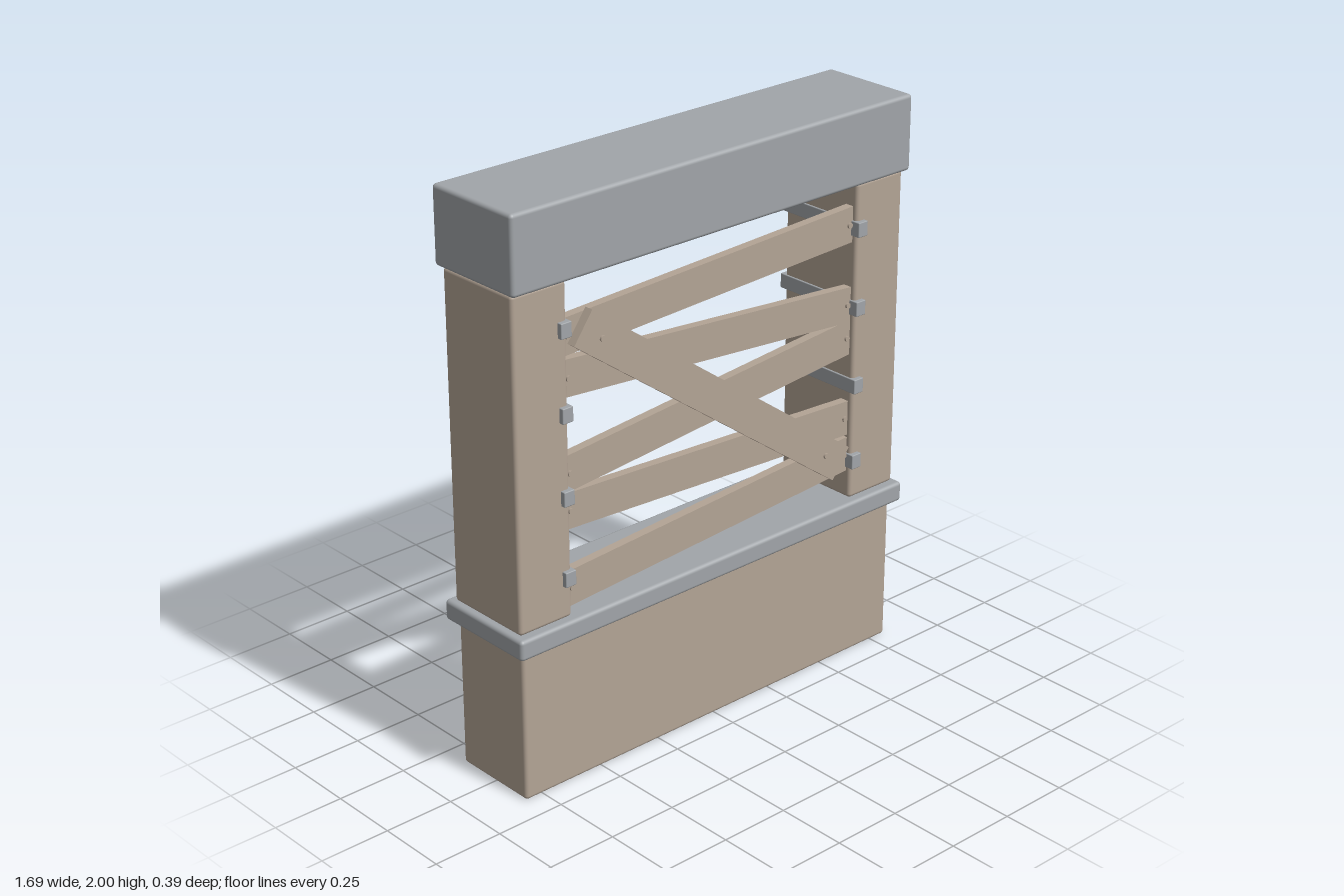
import * as THREE from 'three';
import { RoundedBoxGeometry } from 'three/addons/geometries/RoundedBoxGeometry.js';

export function createModel() {
  const model = new THREE.Group();
  model.name = 'boardedWindow';

  const tan = new THREE.MeshStandardMaterial({ name: 'tan wood', color: 0xb3a495 });
  const grey = new THREE.MeshStandardMaterial({ name: 'grey stone', color: 0xa1a5a9 });

  const add = (name, geometry, material, x, y, z, parent = model) => {
    const mesh = new THREE.Mesh(geometry, material);
    mesh.name = name;
    mesh.position.set(x, y, z);
    parent.add(mesh);
    return mesh;
  };
  // Block with softened edges, given by its bottom and top heights
  const block = (name, material, x, y0, y1, width, depth) =>
    add(name, new RoundedBoxGeometry(width, y1 - y0, depth, 3, 0.013), material, x, (y0 + y1) / 2, 0);

  // Frame
  block('baseWall', tan, 0, 0, 0.528, 1.636, 0.322);
  block('sill', grey, 0, 0.528, 0.6, 1.694, 0.386);
  block('lintel', grey, 0, 1.738, 2, 1.678, 0.374);
  for (const side of [-1, 1]) {
    block(side < 0 ? 'rightPillar' : 'leftPillar', tan, side * 0.722, 0.6, 1.738, 0.21, 0.328);
    // Straps running through the inner edge of each pillar
    for (const y of [0.742, 1.021, 1.302, 1.581]) {
      add('strap', new RoundedBoxGeometry(0.042, 0.052, 0.362, 1, 0.003), grey, side * 0.632, y, 0);
    }
  }

  // Board between two end points, nailed through near both ends
  const nailGeometry = new THREE.CylinderGeometry(0.01, 0.01, 0.046, 8).rotateX(Math.PI / 2);
  const board = (name, x0, y0, x1, y1, z, nailInset) => {
    const length = Math.hypot(x1 - x0, y1 - y0);
    const group = new THREE.Group();
    group.name = name;
    group.position.set((x0 + x1) / 2, (y0 + y1) / 2, z);
    group.rotation.z = Math.atan2(y1 - y0, x1 - x0);
    add('plank', new THREE.BoxGeometry(length, 0.125, 0.032), tan, 0, 0, 0, group);
    for (const side of [-1, 1]) {
      add('nail', nailGeometry, tan, side * (length / 2 - nailInset), 0, 0, group);
    }
    model.add(group);
  };

  // Crooked boards across the opening: heights at the two ends
  const heights = [[1.5425, 1.594], [1.4075, 1.309], [1.0835, 1.195], [0.959, 0.8965], [0.6865, 0.764]];
  for (const [a, b] of heights) board('crossBoard', -0.63, a, 0.63, b, 0.13, 0.028);

  // Diagonal board over the front
  board('diagonalBoard', -0.565, 1.569, 0.558, 0.756, 0.162, 0.091);

  return model;
}
